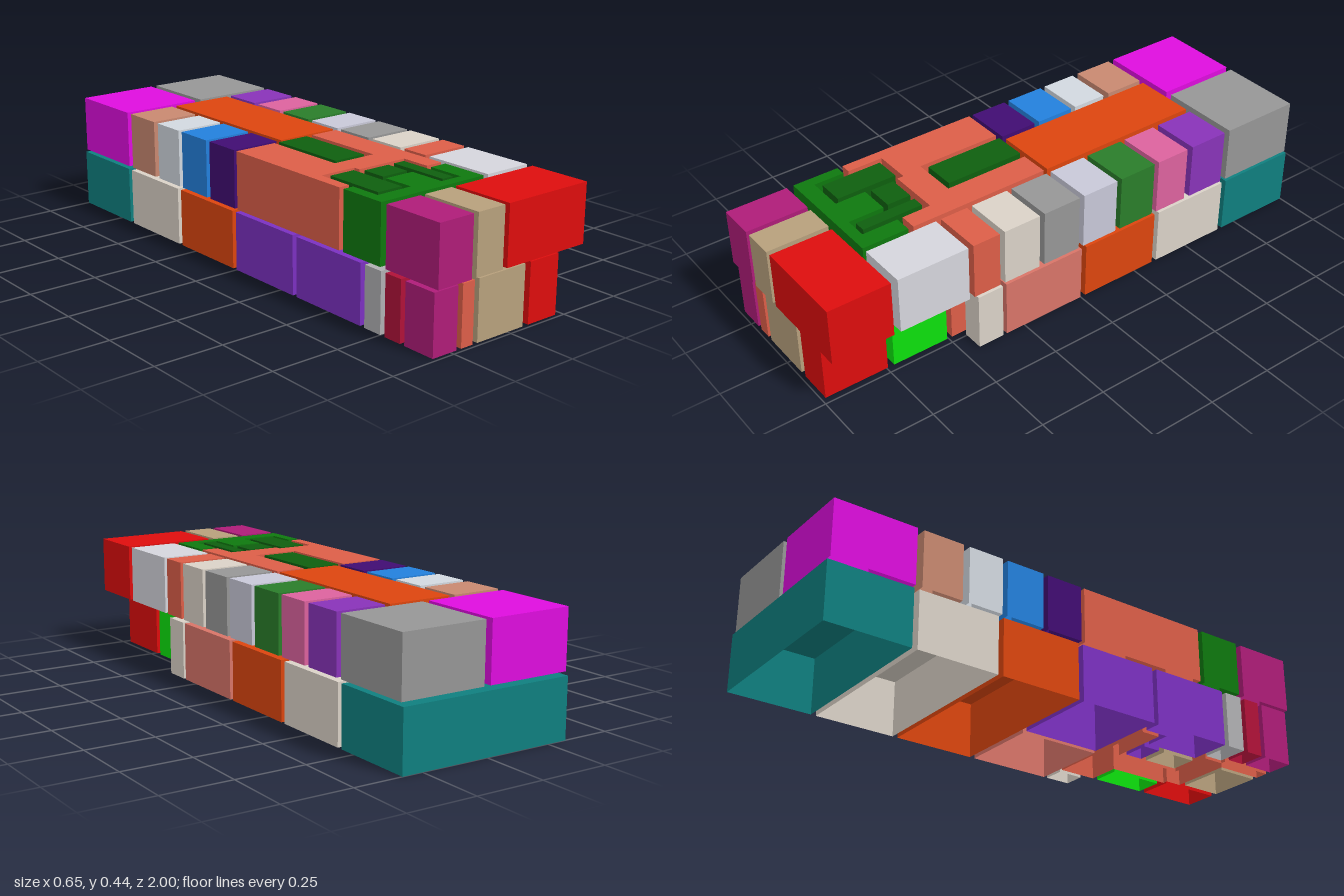
import * as THREE from 'three';

const LOWER = [0, 0.213], UPPER = [0.225, 0.435];

// Room shell from a floor outline [x, z, x, z, ...]: walls and roof, open underneath
function shellGeometry(outline, [y0, y1]) {
  const pts = [];
  for (let i = 0; i < outline.length; i += 2) pts.push(new THREE.Vector2(outline[i], -outline[i + 1]));
  const solid = new THREE.ExtrudeGeometry(new THREE.Shape(pts), { depth: y1 - y0, bevelEnabled: false });
  solid.rotateX(-Math.PI / 2).translate(0, y0, 0);
  const flat = solid.index ? solid.toNonIndexed() : solid;
  const p = flat.attributes.position, n = flat.attributes.normal, kept = [];
  for (let i = 0; i < p.count; i += 3) {
    if (n.getY(i) < -0.5) continue; // leave out the floor
    for (let k = i; k < i + 3; k++) kept.push(p.getX(k), p.getY(k), p.getZ(k));
  }
  const g = new THREE.BufferGeometry();
  g.setAttribute('position', new THREE.Float32BufferAttribute(kept, 3));
  g.computeVertexNormals();
  return g;
}

const rect = (x0, x1, z0, z1) => [x0, z0, x1, z0, x1, z1, x0, z1];

// Lower storey: name, colour, outline
const lowerRooms = [
  ['backHall', 0x0f7f7f, rect(-0.325, 0.325, -1, -0.685)],
  ['middleHall', 0xdad2c7, rect(-0.325, 0.325, -0.665, -0.355)],
  ['centralHall', 0xdc450e, rect(-0.325, 0.325, -0.335, -0.02)],
  ['rightHall', 0xd87468, rect(0.02, 0.325, 0, 0.325)],
  ['leftRoom', 0x7b30c0, rect(-0.325, 0, 0, 0.315)],
  ['leftFrontRoom', 0x7b30c0,
    [-0.325, 0.335, -0.26, 0.335, -0.26, 0.43, -0.165, 0.43, -0.165, 0.655, -0.325, 0.655]],
  ['smallRoom', 0x7b30c0, rect(-0.14, -0.04, 0.43, 0.5)],
  ['closet', 0xb7a07c, rect(-0.14, -0.04, 0.525, 0.665)],
  ['sideRoom', 0xb0b0b2, rect(-0.325, -0.205, 0.675, 0.75)],
  ['sideCloset', 0xb01238, rect(-0.325, -0.225, 0.77, 0.84)],
  ['cornerRoom', 0xae1c78, rect(-0.325, -0.225, 0.86, 0.985)],
  ['frontRoom', 0xb7a07c, rect(-0.135, 0.07, 0.82, 0.985)],
  ['frontRightRoom', 0xdd0d0d, rect(0.095, 0.225, 0.745, 0.985)],
  ['greenRoom', 0x0de00d, rect(0.12, 0.225, 0.505, 0.72)],
  ['porch', 0xdad2c7, rect(0.245, 0.325, 0.34, 0.44)],
  ['lowerCorridor', 0xdc5e48, [
    -0.24, 0.335, 0.225, 0.335, 0.225, 0.485, 0.1, 0.485, 0.1, 0.735, 0.08, 0.735, 0.08, 0.8,
    -0.155, 0.8, -0.155, 0.985, -0.205, 0.985, -0.205, 0.77, -0.185, 0.77, -0.185, 0.69,
    -0.02, 0.69, -0.02, 0.41, -0.24, 0.41]],
];

// Upper storey
const upperRooms = [
  ['backLeftRoom', 0xde0dde, rect(-0.325, -0.015, -0.99, -0.68)],
  ['backRightRoom', 0x969696, rect(0.01, 0.325, -0.99, -0.68)],
  ['backCorridor', 0xdc450e, rect(-0.12, 0.12, -0.655, -0.005)],
  ['stairRoom', 0x0e5f0e, rect(-0.14, -0.015, 0.01, 0.315)],
  ['upperCorridor', 0xdc5e48, [
    -0.325, 0.01, -0.16, 0.01, -0.16, 0.335, 0.01, 0.335, 0.01, 0.01, 0.12, 0.01, 0.12, 0.55,
    0.055, 0.55, 0.055, 0.44, -0.145, 0.44, -0.145, 0.415, -0.285, 0.415, -0.285, 0.55, -0.325, 0.55]],
  ['greenHall', 0x0e780e, [
    -0.325, 0.57, -0.285, 0.57, -0.285, 0.685, -0.145, 0.685, -0.145, 0.57, -0.03, 0.57,
    -0.03, 0.705, 0.055, 0.705, 0.055, 0.57, 0.12, 0.57, 0.12, 0.745, -0.325, 0.745]],
  ['innerRoomLeft', 0x0e5f0e, rect(-0.265, -0.165, 0.435, 0.665)],
  ['innerRoomMiddle', 0x0e5f0e, rect(-0.14, -0.035, 0.46, 0.55)],
  ['innerRoomRight', 0x0e5f0e, rect(-0.01, 0.035, 0.46, 0.69)],
  ['frontLeftRoom', 0xae1c78, rect(-0.325, -0.185, 0.77, 1)],
  ['frontMiddleRoom', 0xb7a07c, rect(-0.165, -0.05, 0.77, 1)],
  ['frontRightRoom', 0xdd0d0d, rect(-0.03, 0.325, 0.77, 1)],
];

// Rows of small rooms along both sides: colour, z range
const leftRow = [
  [0xc88870, -0.655, -0.5], [0xd2d8df, -0.475, -0.34], [0x2380dc, -0.32, -0.17], [0x400c72, -0.15, -0.005],
];
const rightRow = [
  [0x8833b8, -0.655, -0.5], [0xdc629e, -0.475, -0.34], [0x2a7d2a, -0.32, -0.17], [0xc8c8d8, -0.15, -0.005],
  [0x969696, 0.015, 0.165], [0xdad2c7, 0.185, 0.33], [0xdc5e48, 0.35, 0.455], [0xd5d5dc, 0.475, 0.745],
];
leftRow.forEach(([c, z0, z1], i) => upperRooms.push([`leftRowRoom${i + 1}`, c, rect(-0.325, -0.14, z0, z1)]));
rightRow.forEach(([c, z0, z1], i) => upperRooms.push([`rightRowRoom${i + 1}`, c, rect(0.14, 0.325, z0, z1)]));

function storey(name, rooms, span) {
  const group = new THREE.Group();
  group.name = name;
  for (const [roomName, color, outline] of rooms) {
    const material = new THREE.MeshStandardMaterial({ color, side: THREE.DoubleSide });
    const mesh = new THREE.Mesh(shellGeometry(outline, span), material);
    mesh.name = roomName;
    group.add(mesh);
  }
  return group;
}

export function createModel() {
  const model = new THREE.Group();
  model.name = 'twoStoreyBuilding';
  model.add(storey('lowerStorey', lowerRooms, LOWER), storey('upperStorey', upperRooms, UPPER));
  return model;
}
